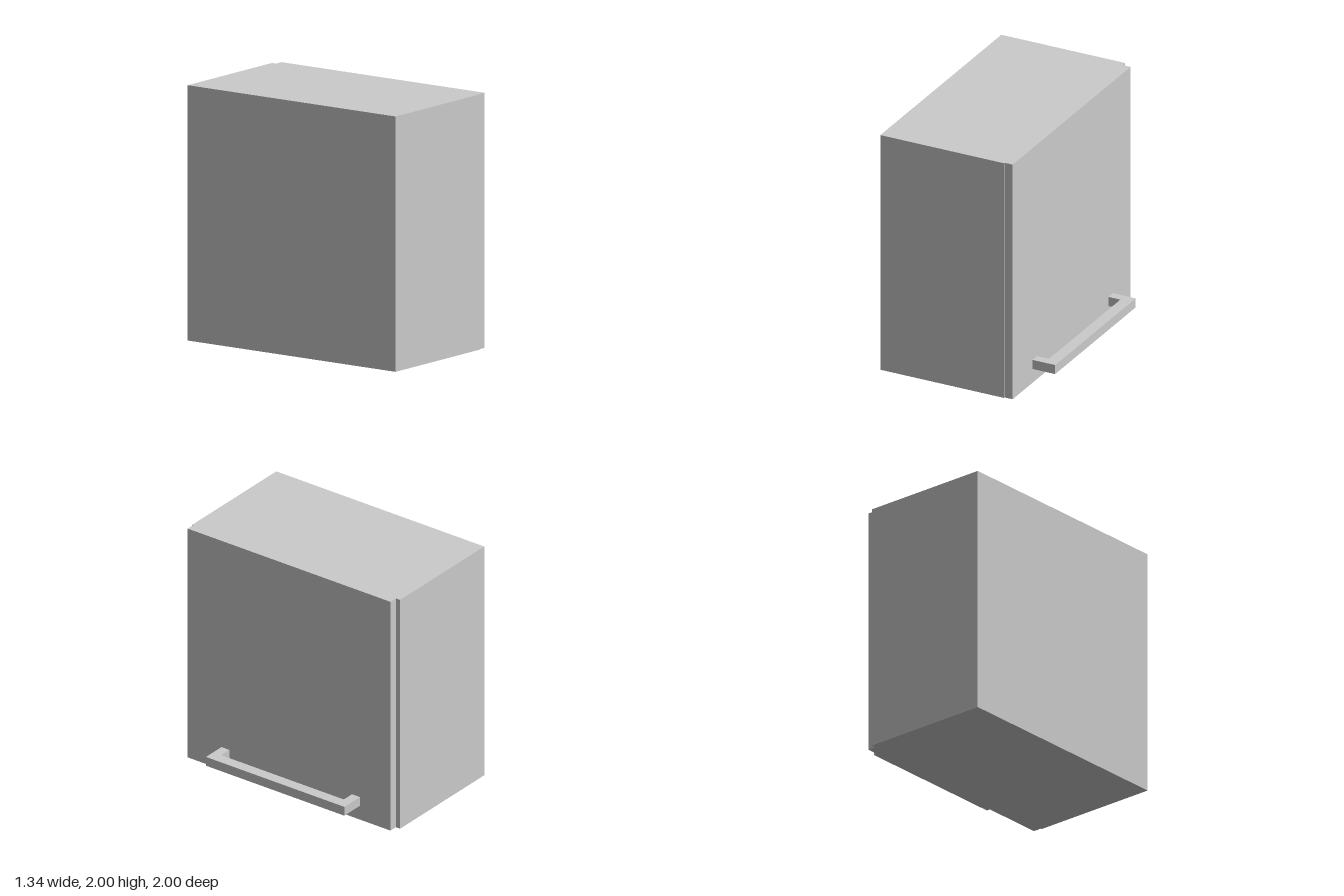
import * as THREE from 'three';

const material = new THREE.MeshStandardMaterial({ color: 0xcccccc, flatShading: true });

// Box given by its minimum and maximum corners
function block(name, [x0, y0, z0], [x1, y1, z1]) {
  const mesh = new THREE.Mesh(new THREE.BoxGeometry(x1 - x0, y1 - y0, z1 - z0), material);
  mesh.position.set((x0 + x1) / 2, (y0 + y1) / 2, (z0 + z1) / 2);
  mesh.name = name;
  return mesh;
}

export function createModel() {
  const group = new THREE.Group();
  group.name = 'wallCabinet';

  // Cabinet body, and a door slightly narrower than it on the +x side
  group.add(block('cabinetBody', [-0.67, 0, -1], [0.403, 2, 1]));
  group.add(block('door', [0.403, 0, -0.96], [0.472, 2, 0.99]));

  // Bracket handle: a U outline in plan, extruded upwards
  const outline = [
    [0.472, -0.665], [0.67, -0.665], [0.67, 0.665], [0.472, 0.665],
    [0.472, 0.59], [0.577, 0.59], [0.577, -0.59], [0.472, -0.59],
  ].map(([x, z]) => new THREE.Vector2(x, z));
  const geometry = new THREE.ExtrudeGeometry(new THREE.Shape(outline), { depth: 0.077, bevelEnabled: false });
  geometry.rotateX(-Math.PI / 2);
  const handle = new THREE.Mesh(geometry, material);
  handle.position.y = 0.12;
  handle.name = 'doorHandle';
  group.add(handle);

  return group;
}
